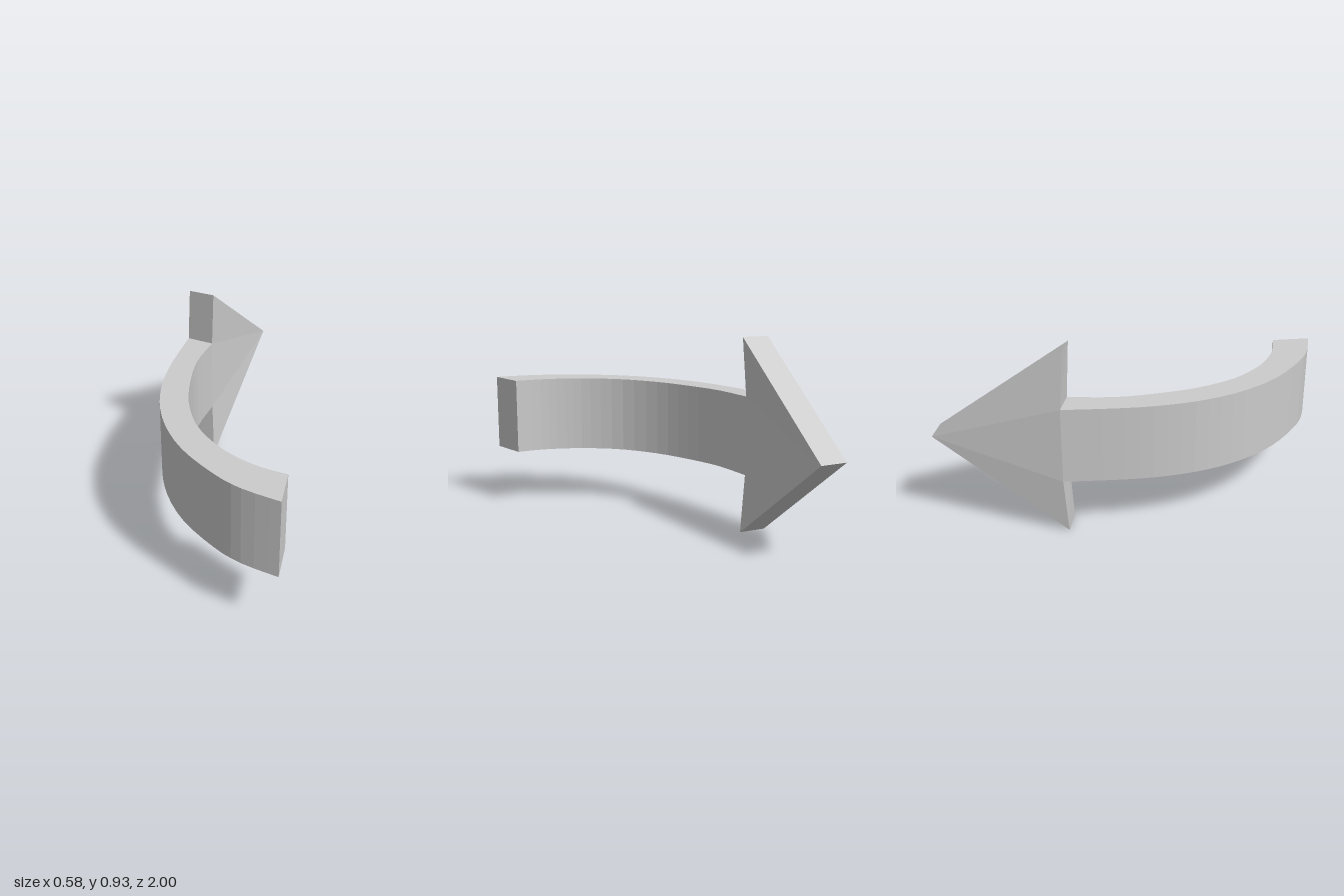
import * as THREE from 'three';

const BOTTOM = 0.28, TOP = 0.652, MID = 0.463, HEIGHT = 0.925;
const SEGMENTS = 24;

// smooth plan curve through [x, z] points, in shape space (x, -z)
function planCurve(points) {
  return new THREE.SplineCurve(points.map(([x, z]) => new THREE.Vector2(x, -z))).getPoints(SEGMENTS);
}

// curved band standing upright
function shaftGeometry() {
  const outer = planCurve([[-0.145, -0.47], [-0.232, -0.2], [-0.277, 0], [-0.292, 0.2],
    [-0.268, 0.4], [-0.198, 0.6], [-0.075, 0.79], [0.03, 0.9], [0.178, 0.997]]);
  const inner = planCurve([[-0.027, -0.4], [-0.11, -0.2], [-0.147, 0], [-0.16, 0.2],
    [-0.132, 0.4], [-0.06, 0.56], [0.02, 0.665], [0.115, 0.75], [0.225, 0.812]]);
  const shape = new THREE.Shape([...outer, ...inner.reverse()]);
  const geometry = new THREE.ExtrudeGeometry(shape, { depth: TOP - BOTTOM, bevelEnabled: false });
  return geometry.rotateX(-Math.PI / 2).translate(0, BOTTOM, 0);
}

// flat barbed head: the same five-point outline on the inner and outer side
function headGeometry() {
  const outline = (tip, barb, notch) => [
    [tip[0], MID, tip[1]],
    [barb[0], HEIGHT, barb[1]],
    [notch[0], TOP, notch[1]],
    [notch[0], BOTTOM, notch[1]],
    [barb[0], 0, barb[1]],
  ];
  const inner = outline([0.291, -0.94], [-0.02, -0.382], [-0.027, -0.4]);
  const outer = outline([0.177, -1], [-0.135, -0.446], [-0.145, -0.47]);
  const positions = [];
  const tri = (a, b, c) => positions.push(...a, ...b, ...c);
  for (let i = 1; i < 4; i++) {
    tri(inner[0], inner[i], inner[i + 1]);
    tri(outer[0], outer[i + 1], outer[i]);
  }
  // rim joining the two sides
  for (let i = 0; i < 5; i++) {
    const j = (i + 1) % 5;
    tri(inner[i], outer[i], outer[j]);
    tri(inner[i], outer[j], inner[j]);
  }
  const geometry = new THREE.BufferGeometry();
  geometry.setAttribute('position', new THREE.Float32BufferAttribute(positions, 3));
  geometry.computeVertexNormals();
  return geometry;
}

export function createModel() {
  const group = new THREE.Group();
  group.name = 'curvedArrow';
  const material = new THREE.MeshStandardMaterial({ color: 0xcccccc, flatShading: true, side: THREE.DoubleSide });
  const parts = { curvedShaft: shaftGeometry(), arrowHead: headGeometry() };
  for (const [name, geometry] of Object.entries(parts)) {
    const mesh = new THREE.Mesh(geometry, material);
    mesh.name = name;
    group.add(mesh);
  }
  return group;
}
